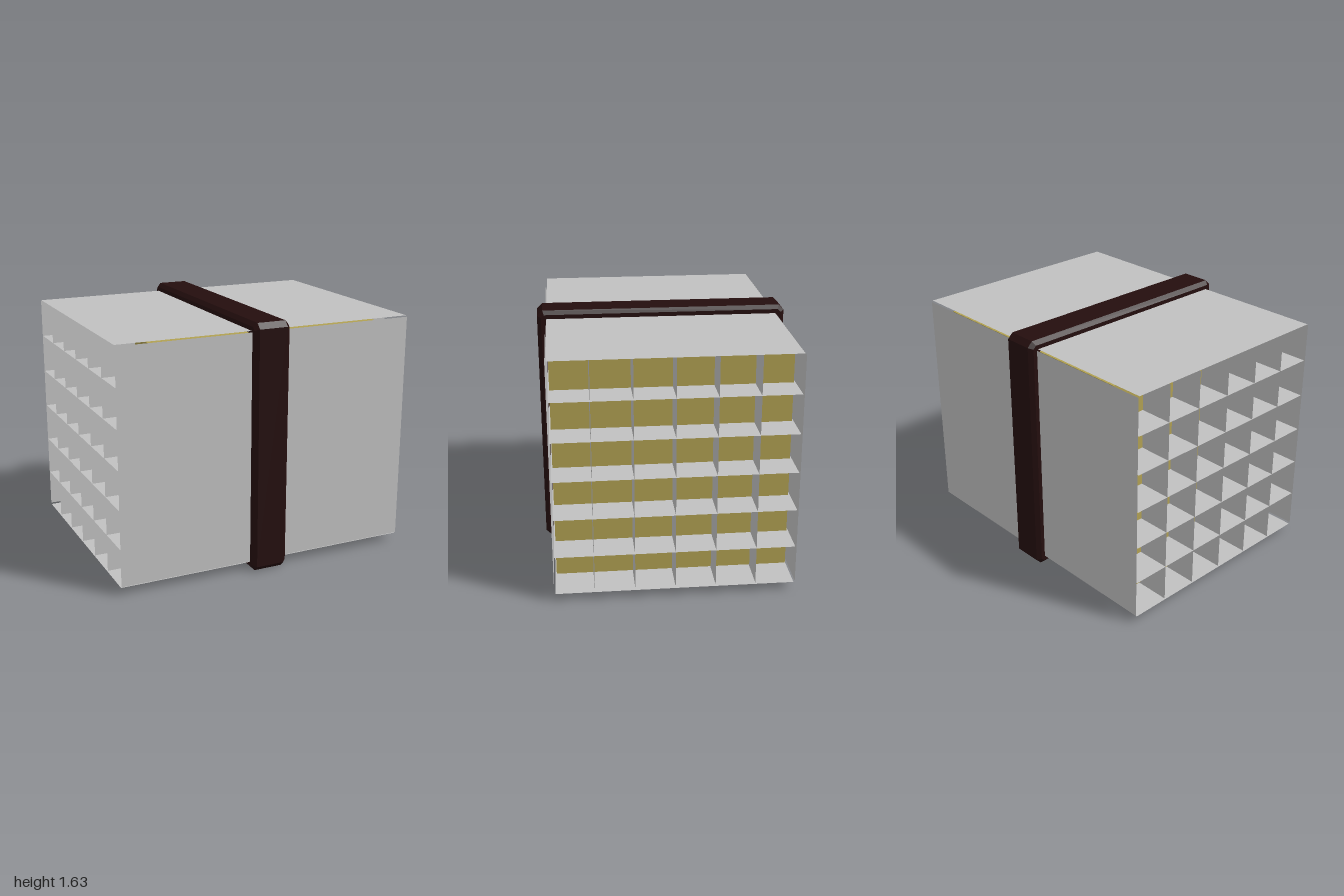
import * as THREE from 'three';

export function createModel() {
  const model = new THREE.Group();
  const grey = new THREE.MeshStandardMaterial({ color: 0xc0c0c0, side: THREE.DoubleSide });
  grey.name = 'light grey';
  const yellow = new THREE.MeshStandardMaterial({ color: 0xb0a052 });
  yellow.name = 'dull yellow';
  const brown = new THREE.MeshStandardMaterial({ color: 0x240e0e });
  brown.name = 'dark brown';

  const midY = 0.815, offset = 0.763, wall = 1.51, cells = 6;
  const add = (name, geometry, material) => {
    const mesh = new THREE.Mesh(geometry, material);
    mesh.name = name;
    mesh.position.y = midY;
    model.add(mesh);
    return mesh;
  };

  // Solid core, set back from both open ends
  add('core', new THREE.BoxGeometry(1.56, 1.49, 1.49), yellow);

  // Thin crossing sheets: the outermost ones form the casing
  for (let i = 0; i <= cells; i++) {
    const p = -offset + (2 * offset * i) / cells;
    const outer = i === 0 || i === cells;
    const upright = add(outer ? 'sideWall' : 'uprightDivider', new THREE.PlaneGeometry(2, wall), grey);
    upright.position.z = p;
    const level = add(outer ? 'levelWall' : 'levelDivider',
      new THREE.PlaneGeometry(2, wall).rotateX(-Math.PI / 2), grey);
    level.position.y = midY + p;
  }

  // Chamfered band around the middle
  const bevel = 0.025, h = 0.815 - bevel, c = 0.02;
  const frame = new THREE.Shape([
    [h, h - c], [h - c, h], [c - h, h], [-h, h - c],
    [-h, c - h], [c - h, -h], [h - c, -h], [h, c - h],
  ].map(([x, y]) => new THREE.Vector2(x, y)));
  const inner = 0.74;
  frame.holes.push(new THREE.Path([[-1, -1], [-1, 1], [1, 1], [1, -1]]
    .map(([x, y]) => new THREE.Vector2(x * inner, y * inner))));
  const depth = 0.24 - 2 * bevel;
  const band = new THREE.ExtrudeGeometry(frame, {
    depth, bevelEnabled: true, bevelThickness: bevel, bevelSize: bevel, bevelSegments: 1,
  });
  band.translate(0, 0, -depth / 2).rotateY(Math.PI / 2);
  add('band', band, brown);

  return model;
}
